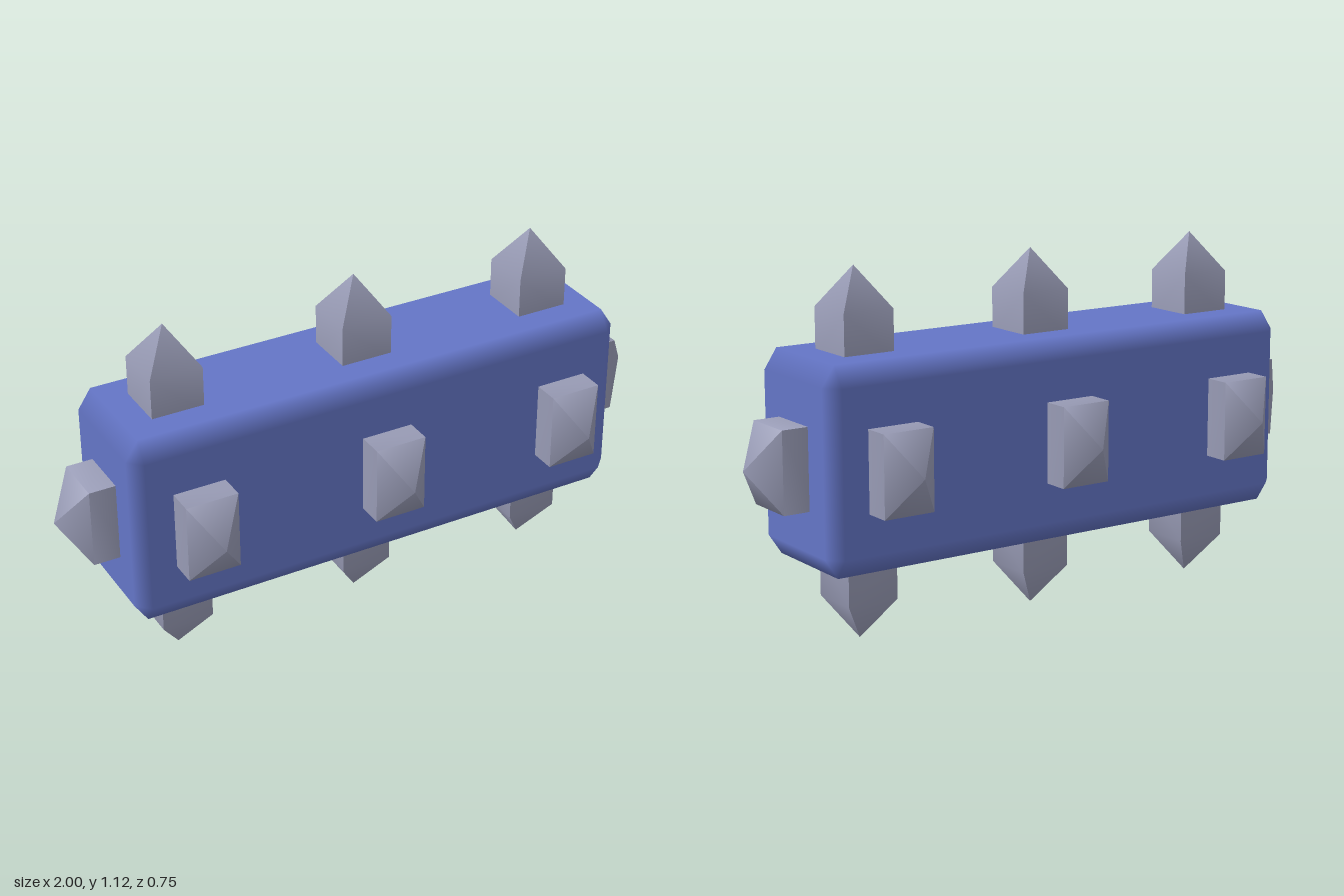
import * as THREE from 'three';
import { toCreasedNormals } from 'three/addons/utils/BufferGeometryUtils.js';
import { ConvexGeometry } from 'three/addons/geometries/ConvexGeometry.js';

const OUTER = [0.8333, 0.3125, 0.2083]; // half sizes of the block
const INNER = [0.7917, 0.25, 0.1667];   // half sizes of its flat faces
const SIGNS = [-1, 1];

// Bevelled block: flat faces with bevels shaded softly between them
function blockGeometry() {
  const points = [];
  for (const sx of SIGNS) for (const sy of SIGNS) for (const sz of SIGNS) {
    for (let axis = 0; axis < 3; axis++) {
      const p = [sx, sy, sz].map((s, i) => s * (i === axis ? OUTER[i] : INNER[i]));
      points.push(new THREE.Vector3(...p));
    }
  }
  const geometry = new ConvexGeometry(points);
  const { position, normal } = geometry.attributes;
  // every corner takes the normal of the flat face it belongs to
  for (let i = 0; i < position.count; i++) {
    const p = [position.getX(i), position.getY(i), position.getZ(i)];
    normal.setXYZ(i, ...p.map((c, k) => (Math.abs(c) > OUTER[k] - 0.005 ? Math.sign(c) : 0)));
  }
  return geometry;
}

// Square-sided spike along one axis: straight shaft, then a pyramid tip
function spikeGeometry(axis, sign, half, shoulder, tip) {
  const u = (axis + 1) % 3, v = (axis + 2) % 3;
  const point = (d, a, b) => {
    const p = [0, 0, 0];
    p[axis] = sign * d;
    p[u] = a * half[u];
    p[v] = b * half[v];
    return new THREE.Vector3(...p);
  };
  const points = [point(tip, 0, 0)];
  for (const d of [OUTER[axis] - 0.02, shoulder])
    for (const a of SIGNS) for (const b of SIGNS) points.push(point(d, a, b));
  return toCreasedNormals(new ConvexGeometry(points), THREE.MathUtils.degToRad(58));
}

export function createModel() {
  const blue = new THREE.MeshStandardMaterial({ color: 0x6475c6 });
  blue.name = 'blue';
  const grey = new THREE.MeshStandardMaterial({ color: 0x989bb5 });
  grey.name = 'grey';

  const model = new THREE.Group();
  model.name = 'spikedBlock';
  const add = (name, geometry, material, x = 0) => {
    const mesh = new THREE.Mesh(geometry, material);
    mesh.name = name;
    mesh.position.set(x, 0.5625, 0);
    model.add(mesh);
  };

  add('block', blockGeometry(), blue);

  // spikes on each of the six sides
  const half = [0.0833, 0.125, 0.0833];
  for (const s of SIGNS) {
    add(s > 0 ? 'leftSpike' : 'rightSpike', spikeGeometry(0, s, half, 0.9167, 1), grey);
    for (const x of [-0.625, 0, 0.625]) {
      add(s > 0 ? 'topSpike' : 'bottomSpike', spikeGeometry(1, s, half, 0.4375, 0.5625), grey, x);
      add(s > 0 ? 'frontSpike' : 'backSpike', spikeGeometry(2, s, half, 0.2917, 0.375), grey, x);
    }
  }
  return model;
}
